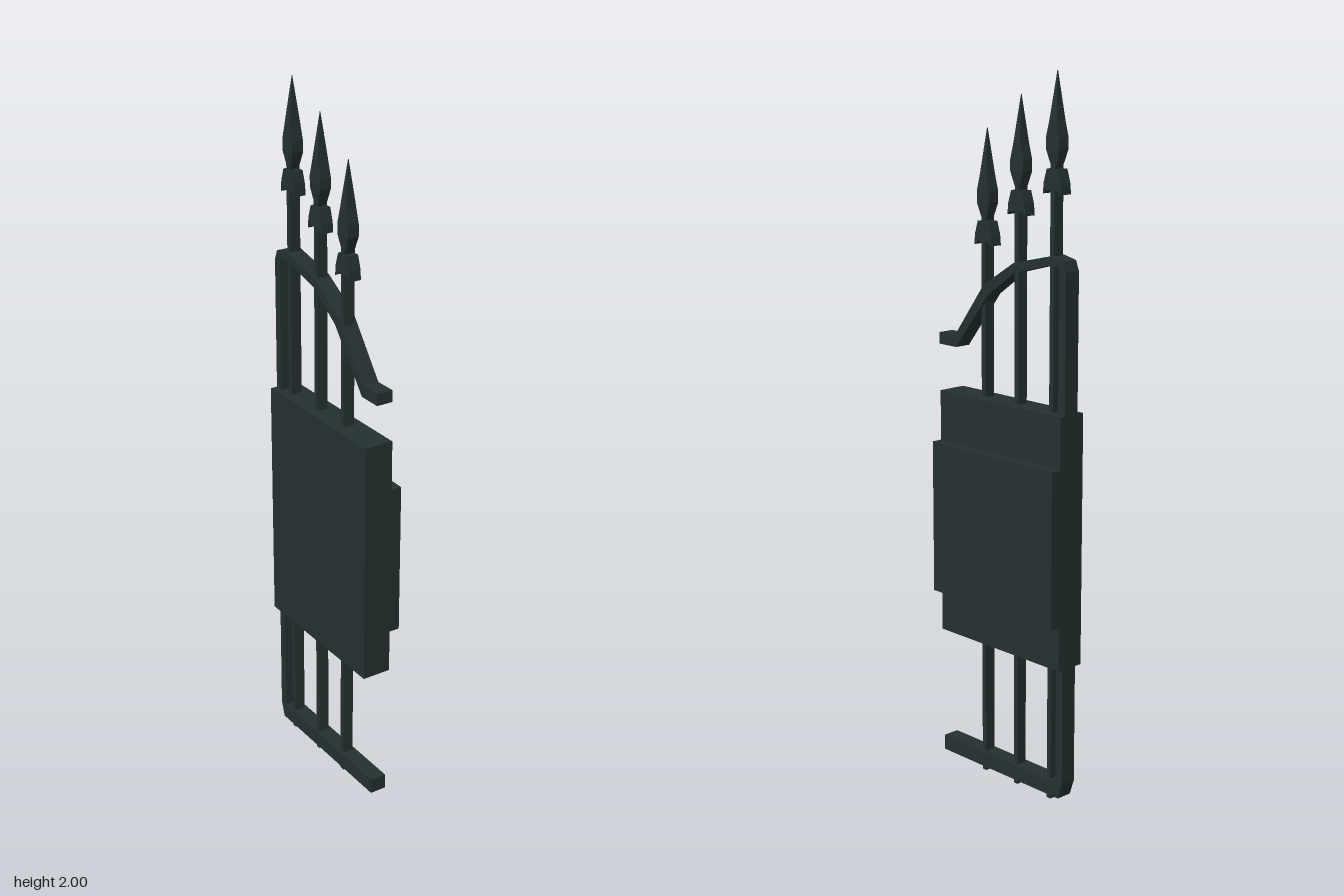
import * as THREE from 'three';

const iron = new THREE.MeshStandardMaterial({ color: 0x243030 });
iron.name = 'dark iron';

const BAR_X = -0.0165; // shared centre plane of the railings

function add(parent, name, geometry) {
  const mesh = new THREE.Mesh(geometry, iron);
  mesh.name = name;
  parent.add(mesh);
  return mesh;
}

// Box given by its limits on each axis
function box(parent, name, [x0, x1], [y0, y1], [z0, z1]) {
  const mesh = add(parent, name, new THREE.BoxGeometry(x1 - x0, y1 - y0, z1 - z0));
  mesh.position.set((x0 + x1) / 2, (y0 + y1) / 2, (z0 + z1) / 2);
}

// Outline of [z, y] points extruded along x, centred on x = 0
function slab(points, width) {
  const shape = new THREE.Shape(points.map(([z, y]) => new THREE.Vector2(-z, y)));
  const geometry = new THREE.ExtrudeGeometry(shape, { depth: width, bevelEnabled: false });
  return geometry.translate(0, 0, -width / 2).rotateY(Math.PI / 2);
}

// Flat-faced loft through rectangular sections [y, halfX, halfZ]
function loft(sections) {
  const pos = [];
  const ring = ([y, a, b]) => [[a, y, b], [a, y, -b], [-a, y, -b], [-a, y, b]];
  for (let i = 0; i < sections.length - 1; i++) {
    const lo = ring(sections[i]), hi = ring(sections[i + 1]);
    for (let k = 0; k < 4; k++) {
      const n = (k + 1) % 4;
      pos.push(...lo[k], ...lo[n], ...hi[n], ...lo[k], ...hi[n], ...hi[k]);
    }
  }
  const geometry = new THREE.BufferGeometry();
  geometry.setAttribute('position', new THREE.Float32BufferAttribute(pos, 3));
  geometry.computeVertexNormals();
  return geometry;
}

// Upright bar with a flared collar and a spear head
function railing(z, collarY) {
  const group = new THREE.Group();
  group.name = 'railing';
  group.position.set(BAR_X, 0, z);
  box(group, 'bar', [-0.016, 0.016], [0, collarY + 0.09], [-0.0075, 0.0075]);

  const half = [[0.034, 0], [0.031, 0.03], [0.02, 0.065]];
  const outline = [
    ...half,
    ...half.map(([a, y]) => [-a, y]).reverse(),
    [-0.02, 0.01], [0.02, 0.01],
  ];
  add(group, 'collar', slab(outline, 0.035)).position.y = collarY;

  add(group, 'spearHead', loft([
    [0.065, 0.012, 0.006],
    [0.085, 0.014, 0.014],
    [0.115, 0.017, 0.024],
    [0.145, 0.017, 0.024],
    [0.185, 0.016, 0.014],
    [0.225, 0.012, 0.009],
    [0.315, 0.0005, 0.0005],
  ])).position.y = collarY;
  return group;
}

export function createModel() {
  const model = new THREE.Group();
  model.name = 'gate';
  const gate = new THREE.Group();
  gate.name = 'gateLeaf';
  gate.rotation.y = 0.005;
  model.add(gate);

  // Solid plate with a thinner raised plate on one side
  box(gate, 'panel', [-0.059, 0.026], [0.4, 1.108], [-0.248, 0.226]);
  box(gate, 'raisedPanel', [0.026, 0.057], [0.525, 0.965], [-0.248, 0.226]);

  // Bottom rail, hinge post and curved top rail in one outline
  const frame = slab([
    [0.24, 0.015], [-0.23, 0.015], [-0.245, 0.06], [-0.245, 1.488],
    [-0.234, 1.516], [-0.19, 1.526], [-0.05, 1.494], [0.068, 1.422],
    [0.185, 1.268], [0.25, 1.268], [0.25, 1.235], [0.18, 1.235],
    [0.052, 1.395], [-0.05, 1.466], [-0.19, 1.503], [-0.22, 1.497],
    [-0.22, 0.06], [0.24, 0.06],
  ], 0.048);
  add(gate, 'frame', frame).position.x = BAR_X;

  for (const [z, collarY] of [[0.077, 1.528], [-0.053, 1.62], [-0.186, 1.685]]) {
    gate.add(railing(z, collarY));
  }
  return model;
}
